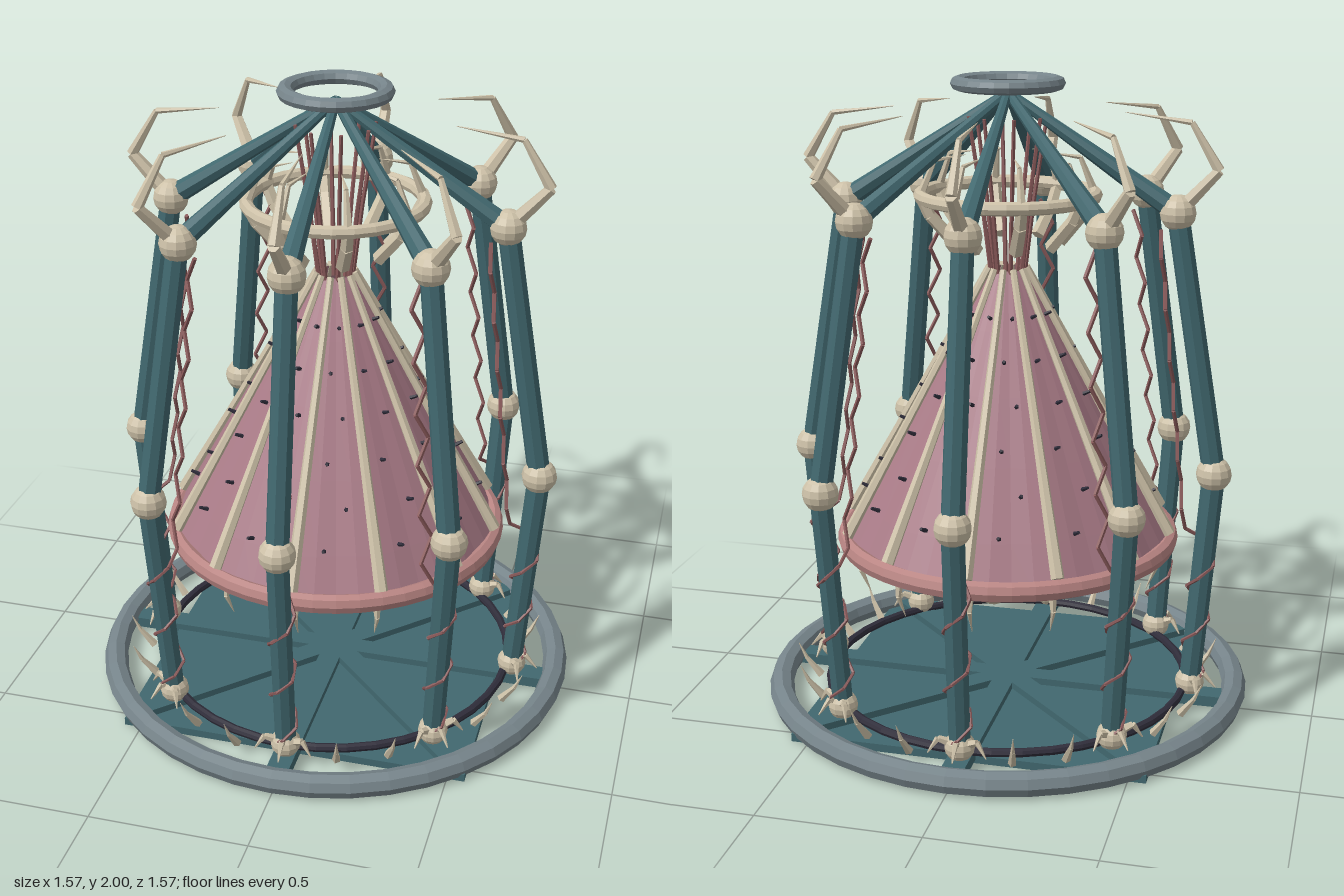
import * as THREE from 'three';
import { mergeGeometries } from 'three/addons/utils/BufferGeometryUtils.js';

const mat = (name, color, side = THREE.FrontSide) => {
  const m = new THREE.MeshStandardMaterial({ color, side, flatShading: true });
  m.name = name;
  return m;
};
const V = (x, y, z = 0) => new THREE.Vector3(x, y, z);

// Chain of tapered straight pieces through the given points
function rod(points, r0, r1, sides = 6) {
  const n = points.length - 1;
  return mergeGeometries(points.slice(1).map((b, i) => {
    const a = points[i], d = b.clone().sub(a);
    const ra = r0 + (r1 - r0) * i / n, rb = r0 + (r1 - r0) * (i + 1) / n;
    const g = new THREE.CylinderGeometry(rb, ra, d.length(), sides);
    g.applyQuaternion(new THREE.Quaternion().setFromUnitVectors(V(0, 1, 0), d.normalize()));
    return g.translate((a.x + b.x) / 2, (a.y + b.y) / 2, (a.z + b.z) / 2);
  }));
}
const ball = (p, r) => new THREE.SphereGeometry(r, 12, 8).translate(p.x, p.y, p.z);

// Copies of a geometry turned around the upright axis
function around(geo, count, offset = 0) {
  return mergeGeometries(Array.from({ length: count }, (_, i) =>
    geo.clone().rotateY(offset + i * Math.PI * 2 / count)));
}

export function createModel() {
  const steel = mat('grey steel', 0x76848a);
  const teal = mat('dark teal', 0x41686f);
  const bone = mat('bone', 0xcdc1a8);
  const skin = mat('dusty pink skin', 0xa97b87, THREE.DoubleSide);
  const flesh = mat('light pink flesh', 0xb98583, THREE.DoubleSide);
  const vine = mat('red brown tendril', 0x8a5a5a);
  const thorn = mat('dark thorn', 0x2f2d3a);

  const model = new THREE.Group();
  model.name = 'boneCageBell';
  const add = (name, geo, material, parent = model) => {
    const m = new THREE.Mesh(geo, material);
    m.name = name;
    parent.add(m);
    return m;
  };
  const hoop = (r, tube, height, y, segs = 40) =>
    new THREE.TorusGeometry(r, tube, 8, segs).rotateX(Math.PI / 2)
      .scale(1, height / (2 * tube), 1).translate(0, y, 0);

  // Base
  add('baseRing', hoop(0.745, 0.039, 0.078, 0.04), steel);
  add('basePlate', new THREE.BoxGeometry(1.11, 0.025, 1.11).translate(0, 0.013, 0), teal);
  add('baseSpokes', around(new THREE.BoxGeometry(0.76, 0.035, 0.07).translate(0.38, 0.03, 0), 8), teal);
  add('innerBaseRing', hoop(0.585, 0.014, 0.028, 0.055), thorn);
  const spike = rod([V(0.62, 0.04), V(0.665, 0.1), V(0.69, 0.155)], 0.014, 0.001, 5);
  for (const a of [15, 30])
    add('baseSpikes', around(spike, 8, THREE.MathUtils.degToRad(a)), bone);

  // Eight jointed legs that meet at the top
  const foot = V(0.605, 0.08), knee = V(0.66, 0.79), shoulder = V(0.525, 1.605), apex = V(0, 1.95);
  const legGeo = mergeGeometries([
    rod([foot, knee], 0.034, 0.036, 8), rod([knee, shoulder], 0.036, 0.034, 8),
    rod([shoulder, apex], 0.034, 0.014, 8)]);
  const joints = mergeGeometries([ball(foot, 0.047), ball(knee, 0.056), ball(shoulder, 0.056)]);
  const claw = rod([shoulder, V(0.645, 1.735), V(0.56, 1.875), V(0.36, 1.9)], 0.026, 0.001);
  const toes = mergeGeometries([-1, 0, 1].map(s => rod(
    [foot, V(0.65 - 0.02 * Math.abs(s), 0.11, s * 0.06), V(0.69 - 0.05 * Math.abs(s), 0.065, s * 0.09)], 0.018, 0.002, 5)));

  // Tendril zigzags down inside the leg, then coils round the shin
  const path = [];
  for (let i = 0; i <= 12; i++)
    path.push(V(0.475 + 0.1 * i / 12, 1.55 - 0.95 * i / 12, 0.012 + (i % 2 ? 0.024 : -0.018)));
  for (let i = 1; i <= 14; i++) {
    const t = i / 14, a = Math.PI + i * 1.2;
    path.push(V(0.64 - 0.035 * t + 0.042 * Math.cos(a), 0.6 - 0.52 * t, 0.042 * Math.sin(a)));
  }
  const tendril = rod(path, 0.007, 0.005, 5);

  for (let i = 0; i < 8; i++) {
    const leg = new THREE.Group();
    leg.name = 'leg' + (i + 1);
    leg.rotation.y = i * Math.PI / 4;
    add('legBeams', legGeo, teal, leg);
    add('legJoints', joints, bone, leg);
    add('shoulderClaw', claw, bone, leg);
    add('footClaws', toes, bone, leg);
    add('legTendril', tendril, vine, leg);
    model.add(leg);
  }

  // Crown
  add('topRing', hoop(0.15, 0.025, 0.044, 1.978, 24), steel);
  add('boneRing', hoop(0.27, 0.021, 0.042, 1.64, 28), bone);
  const hook = mergeGeometries([
    rod([V(0.27, 1.64), V(0.24, 1.58), V(0.16, 1.49)], 0.018, 0.022, 5),
    rod([V(0.27, 1.64), V(0.225, 1.75), V(0.13, 1.765)], 0.014, 0.001, 5)]);
  add('crownHooks', around(hook, 8, Math.PI / 8), bone);

  // Hanging skin bell, sagging inward between its ribs
  const profile = [[0.535, 0.54], [0.465, 0.67], [0.355, 0.87], [0.25, 1.06], [0.15, 1.24], [0.055, 1.41]];
  const bell = new THREE.LatheGeometry(profile.map(p => new THREE.Vector2(...p)), 48);
  const pos = bell.attributes.position;
  for (let i = 0; i < pos.count; i++) {
    const a = Math.atan2(pos.getZ(i), pos.getX(i));
    const k = 0.985 + 0.015 * Math.cos(12 * a);
    pos.setXYZ(i, pos.getX(i) * k, pos.getY(i), pos.getZ(i) * k);
  }
  add('skinBell', bell, skin);
  add('bellRim', hoop(0.522, 0.026, 0.064, 0.545, 48), flesh);
  const rib = rod([V(0.525, 0.58), V(0.36, 0.875), V(0.06, 1.415)], 0.021, 0.011);
  add('bellRibs', around(rib, 12), bone);
  const tooth = rod([V(0.475, 0.53), V(0.485, 0.46), V(0.455, 0.385)], 0.016, 0.001, 5);
  add('rimTeeth', around(tooth, 12), bone);

  // Thorns in staggered rows on the skin
  [0.68, 0.79, 0.91, 1.03, 1.15, 1.27].forEach((y, row) => {
    const r = 0.05 + (1.41 - y) * 0.555;
    const stud = rod([V(r - 0.015, y), V(r + 0.018, y + 0.016)], 0.008, 0.005, 5);
    add('thornRow', around(stud, 12, (row % 2 ? 0.34 : 0.18)), thorn);
  });

  // Cords that carry the bell
  add('bellCords', around(rod([V(0.05, 1.38), V(0.08, 1.62), V(0.12, 1.88)], 0.008, 0.006, 5), 8, Math.PI / 8), vine);

  // Bone chain and tilted clapper
  const chain = [];
  for (let i = 0; i < 12; i++) chain.push(ball(V(0, 0.55 + i * 0.07, 0), 0.032));
  add('boneChain', mergeGeometries(chain), bone);
  const clapper = new THREE.Group();
  clapper.name = 'clapper';
  const cone = new THREE.CylinderGeometry(0.045, 0.115, 0.24, 12, 1, true).translate(0, -0.12, 0);
  add('clapperCone', cone, flesh, clapper);
  add('clapperBall', ball(V(0, -0.29, 0), 0.056), bone, clapper);
  clapper.position.set(0, 0.59, 0);
  clapper.quaternion.setFromUnitVectors(V(0, -1, 0), V(0.065, -0.28, 0.06).normalize());
  model.add(clapper);

  return model;
}
